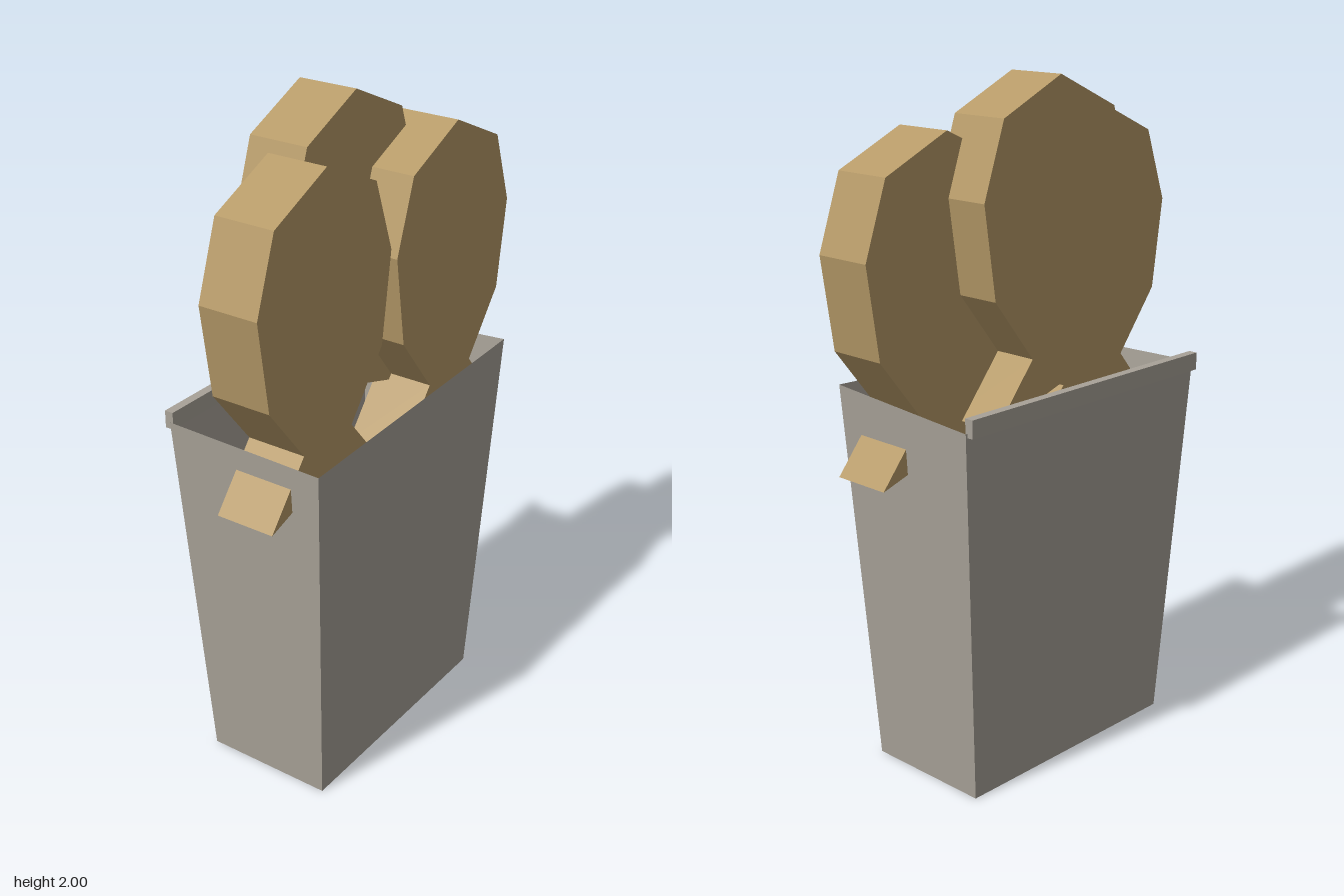
import * as THREE from 'three';

const grey = new THREE.MeshStandardMaterial({ color: 0xa8a298, side: THREE.DoubleSide });
grey.name = 'warm grey';
const tan = new THREE.MeshStandardMaterial({ color: 0xb69a68 });
tan.name = 'baked tan';

// Open tapered carton: four thin walls and a floor
function makeCarton() {
  const base = [[-0.4, 0, 0.21], [0.4, 0, 0.21], [0.4, 0, -0.19], [-0.4, 0, -0.19]];
  const rim = [[-0.475, 1.12, 0.26], [0.475, 1.155, 0.26], [0.475, 1.12, -0.243], [-0.475, 1.13, -0.243]];
  const pos = [];
  const quad = (a, b, c, d) => pos.push(...a, ...b, ...c, ...a, ...c, ...d);
  for (let i = 0; i < 4; i++) {
    const j = (i + 1) % 4;
    quad(base[i], base[j], rim[j], rim[i]);
  }
  quad(base[3], base[2], base[1], base[0]);
  const geo = new THREE.BufferGeometry();
  geo.setAttribute('position', new THREE.Float32BufferAttribute(pos, 3));
  geo.computeVertexNormals();
  const mesh = new THREE.Mesh(geo, grey);
  mesh.name = 'carton';
  return mesh;
}

// Fish-shaped cracker, nose up at the origin, notched tail down
function crackerGeometry(depth) {
  const half = [[0, 0], [0.22, -0.1], [0.295, -0.315], [0.255, -0.585], [0.11, -0.77], [0.255, -0.945], [0, -0.865]];
  const mirrored = half.slice(1, -1).reverse().map(([x, y]) => [-x, y]);
  const shape = new THREE.Shape([...half, ...mirrored].map(([x, y]) => new THREE.Vector2(x, y)));
  return new THREE.ExtrudeGeometry(shape, { depth, bevelEnabled: false });
}

export function createModel() {
  const model = new THREE.Group();
  model.name = 'crackerCarton';
  model.add(makeCarton());

  // Folded strip along the back rim
  const strip = new THREE.Mesh(new THREE.BoxGeometry(0.94, 0.052, 0.027), grey);
  strip.name = 'backRimStrip';
  strip.position.set(-0.002, 1.134, -0.248);
  model.add(strip);

  // Three crackers standing in the carton
  const geo = crackerGeometry(0.184);
  for (const [name, x, y, z] of [
    ['backCracker', 0, 2, -0.138],
    ['rightCracker', -0.3, 1.895, -0.018],
    ['leftCracker', 0.297, 1.865, -0.003],
  ]) {
    const cracker = new THREE.Mesh(geo, tan);
    cracker.name = name;
    cracker.position.set(x, y, z);
    model.add(cracker);
  }
  return model;
}
